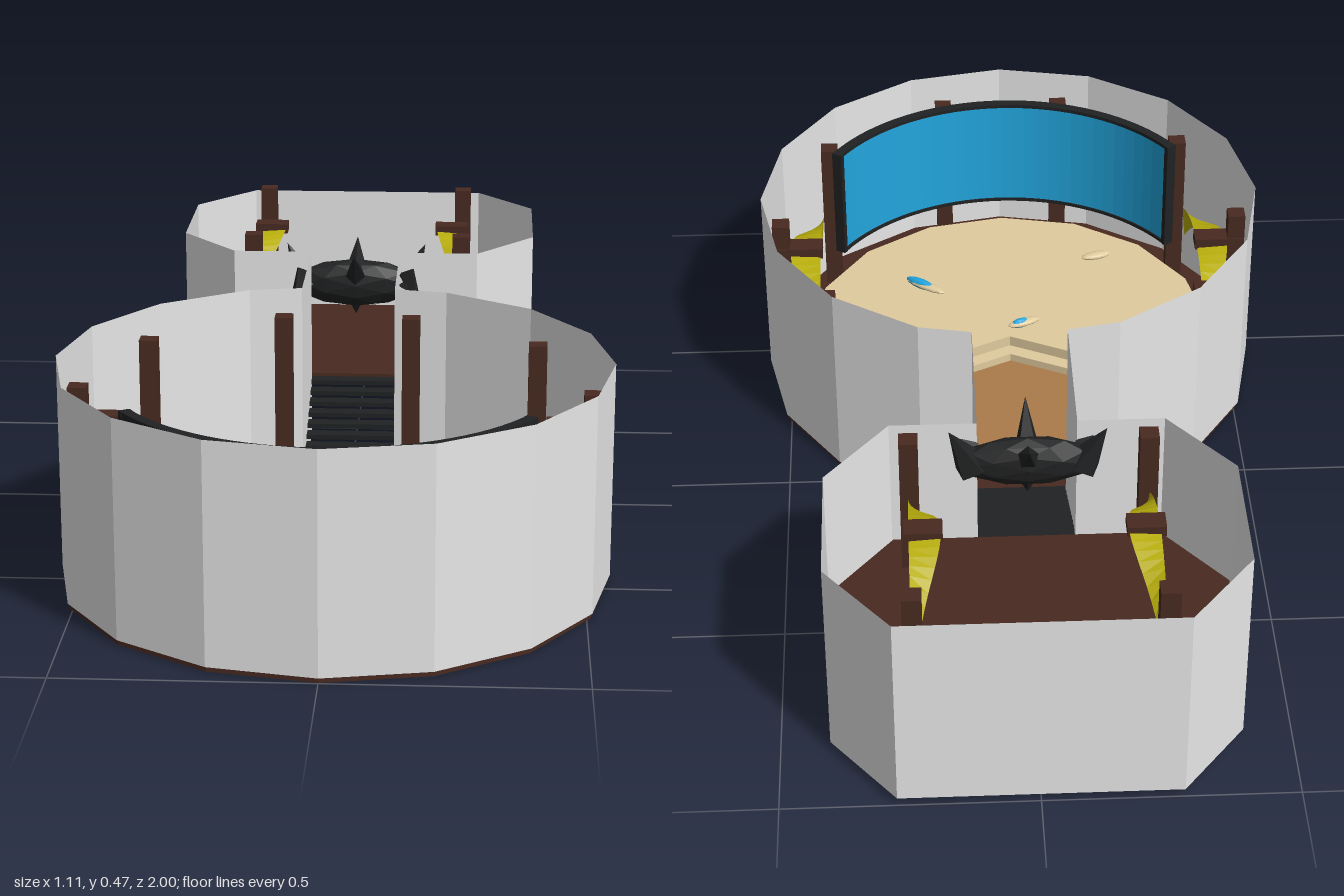
import * as THREE from 'three';

const mat = (name, color, double = false) => {
  const m = new THREE.MeshStandardMaterial({ color });
  m.name = name;
  m.flatShading = true;
  if (double) m.side = THREE.DoubleSide;
  return m;
};

export function createModel() {
  const model = new THREE.Group();
  const wallGrey = mat('wallGrey', 0xe7e7e7, true);
  const wood = mat('darkWood', 0x482a20, true);
  const black = mat('black', 0x202122, true);
  const cloth = mat('yellowCloth', 0xb8ae0c, true);
  const blue = mat('screenBlue', 0x22a6de, true);
  const sand = mat('paleSand', 0xe0cb9e);
  const wetSand = mat('brownSand', 0xac7b4a);

  const add = (name, geometry, material, x = 0, y = 0, z = 0) => {
    const mesh = new THREE.Mesh(geometry, material);
    mesh.name = name;
    mesh.position.set(x, y, z);
    model.add(mesh);
    return mesh;
  };
  const box = (name, w, h, d, material, x, y, z) =>
    add(name, new THREE.BoxGeometry(w, h, d), material, x, y, z);

  // Strip surface through pairs of points (two edges)
  const strip = (name, edgeA, edgeB, material) => {
    const pos = [], idx = [];
    edgeA.forEach((a, i) => {
      pos.push(...a, ...edgeB[i]);
      if (i) idx.push(2 * i - 2, 2 * i, 2 * i - 1, 2 * i - 1, 2 * i, 2 * i + 1);
    });
    const g = new THREE.BufferGeometry();
    g.setAttribute('position', new THREE.Float32BufferAttribute(pos, 3));
    g.setIndex(idx);
    g.computeVertexNormals();
    return add(name, g, material);
  };
  // Upright strip along points in x,z
  const fence = (name, pts, y0, y1, material) =>
    strip(name, pts.map(([x, z]) => [x, y0, z]), pts.map(([x, z]) => [x, y1, z]), material);

  // Flat slab from an outline in x,z
  const slab = (name, outline, y, h, material) => {
    const shape = new THREE.Shape(outline.map(([x, z]) => new THREE.Vector2(x, -z)));
    const g = new THREE.ExtrudeGeometry(shape, { depth: h, bevelEnabled: false });
    g.rotateX(-Math.PI / 2);
    return add(name, g, material, 0, y, 0);
  };

  const CZ = 0.447, R = 0.553, TOP = 0.452, F1 = 0.036, F2 = 0.163;
  const ring = (r, from, to) => {
    const pts = [];
    for (let i = from; i <= to; i++) pts.push([r * Math.sin(i * Math.PI / 8), CZ + r * Math.cos(i * Math.PI / 8)]);
    return pts;
  };

  // Walls of the round hall, and of the corridor and eight-sided room
  fence('hallWall', [[-0.1, -0.086], ...ring(R, -7, 7), [0.1, -0.086]], 0.01, TOP, wallGrey);
  const half = [[0, -1], [0.275, -1], [0.403, -0.84], [0.403, -0.56], [0.275, -0.4], [0.1, -0.4], [0.1, -0.086]];
  for (const s of [-1, 1]) fence('roomWall', half.map(([x, z]) => [s * x, z]), 0.018, TOP, wallGrey);

  // Floor plates, open below, each with a skirt
  const plate = (name, pts, y, top) => {
    slab(name, pts, top - 0.004, 0.004, wood);
    fence(name + 'Skirt', [...pts, pts[0]], y, top, wood);
  };
  plate('hallFloor', ring(0.55, 0, 15), 0, F1);
  const room = [[0.273, -0.996], [0.399, -0.838], [0.399, -0.562], [0.273, -0.404]];
  plate('roomFloor', [...room, ...room.slice().reverse().map(([x, z]) => [-x, z])], F2 - 0.026, F2);

  // Sand pit with two raised zigzag tiers
  add('brownSandPit', new THREE.CylinderGeometry(0.47, 0.47, 0.014, 16), wetSand, 0, F1 + 0.004, CZ);
  for (const [dz, y, h] of [[0, 0.04, 0.025], [0.035, 0.065, 0.025]]) {
    const front = [[-0.45, 0.385 + dz], [-0.215, 0.265 + dz], [0, 0.37 + dz], [0.215, 0.265 + dz], [0.45, 0.385 + dz]];
    slab('paleSandTier', [...front, ...ring(0.46, -4, 4).reverse()], y, h, sand);
  }

  // Little boards lying on the sand, some with a blue deck
  const boards = [[-0.035, 0.45, 0.08, 0.4, 0.55], [0.19, 0.61, 0.11, -0.65, 0.75], [-0.22, 0.72, 0.075, 0.3, 0]];
  for (const [x, z, len, turn, deck] of boards) {
    const board = new THREE.Group();
    board.name = 'board';
    const layer = (name, m, k, dx, h) => {
      const b = new THREE.Mesh(new THREE.SphereGeometry(1, 12, 8), m);
      b.name = name;
      b.scale.set(len / 2 * k, h, 0.014 * Math.sqrt(k));
      b.position.x = dx;
      board.add(b);
    };
    layer('boardBody', sand, 1, 0, 0.008);
    if (deck) layer('boardDeck', blue, deck, len * 0.12, 0.012);
    board.position.set(x, 0.098, z);
    board.rotation.y = turn;
    model.add(board);
  }

  // Curved screen with a frame on the front wall
  const S0 = 0.15, S1 = 0.418, SPREAD = 1.01;
  const arc = (name, r, y0, y1, material) => {
    const pts = [];
    for (let i = 0; i <= 32; i++) {
      const a = SPREAD * (i / 16 - 1);
      pts.push([r * Math.sin(a), CZ + r * Math.cos(a)]);
    }
    fence(name, pts, y0, y1, material);
    return pts;
  };
  const back = arc('screenBack', 0.465, S0, S1, black);
  arc('screen', 0.45, S0 + 0.005, S1 - 0.005, blue);
  const lip = arc('frameBottomLip', 0.443, S0, S0 + 0.008, black);
  arc('frameTopLip', 0.443, S1 - 0.008, S1, black);
  for (const y of [S0, S1]) {
    strip('frameEdge', lip.map(([x, z]) => [x, y, z]), back.map(([x, z]) => [x, y, z]), black);
  }
  for (const s of [-1, 1]) {
    const side = box('frameSide', 0.012, S1 - S0, 0.024, black,
      s * 0.454 * Math.sin(SPREAD), (S0 + S1) / 2, CZ + 0.454 * Math.cos(SPREAD));
    side.rotation.y = s * SPREAD;
  }

  // Arched cloth: upright at its ends, flat and wide at its crest
  const drape = (x0, bulge, z0, z1, base) => {
    const a = [], b = [];
    for (let i = 0; i <= 24; i++) {
      const t = i / 12 - 1;
      const w = 0.12 + 0.88 * (0.5 + 0.5 * Math.cos(Math.PI * t)), s = Math.cos(Math.PI * t / 2);
      const z = (z0 + z1) / 2 + t * (z1 - z0) / 2;
      a.push([x0, base + 0.17 + 0.1 * s, z]);
      b.push([x0 + bulge * w, base + 0.09 + 0.185 * s, z]);
    }
    strip('clothArch', a, b, cloth);
  };

  // Posts, brackets and cloths, mirrored
  const post = (x, z, y0, y1) => box('post', 0.038, y1 - y0, 0.038, wood, x, (y0 + y1) / 2, z);
  for (const s of [-1, 1]) {
    for (const [x, z] of [[0.137, -0.05], [0.406, 0.139], [0.406, 0.745], [0.137, 0.93]]) post(s * x, z, F1, 0.4);
    post(s * 0.512, CZ - 0.005, F1, 0.39);
    for (const z of [-0.94, -0.475]) post(s * 0.237, z, F2, 0.475);
    drape(s * 0.425, s * 0.068, 0.14, 0.745, 0.042);
    drape(s * 0.24, -s * 0.062, -0.945, -0.475, 0.158);
    box('hallBracket', 0.11, 0.025, 0.045, wood, s * 0.475, 0.32, CZ - 0.005);
    box('roomBracket', 0.075, 0.022, 0.045, wood, s * 0.2125, 0.433, -0.708);
  }

  // Open stairs through the corridor
  for (let i = 0; i < 9; i++) {
    box('stair', 0.198, 0.01, 0.035, black, 0, 0.034 + i * 0.0148, -0.106 - i * 0.0347);
  }

  // Spiked ornament over the room entrance
  const body = add('ornamentBody', new THREE.IcosahedronGeometry(1, 1), black, 0, 0.375, -0.425);
  body.scale.set(0.14, 0.055, 0.038);
  const spike = (from, to, r) => {
    const a = new THREE.Vector3(...from), b = new THREE.Vector3(...to);
    const dir = b.clone().sub(a);
    const mid = a.add(b).multiplyScalar(0.5);
    const m = add('ornamentSpike', new THREE.ConeGeometry(r, dir.length(), 5), black, mid.x, mid.y, mid.z);
    m.quaternion.setFromUnitVectors(new THREE.Vector3(0, 1, 0), dir.normalize());
  };
  spike([0, 0.38, -0.425], [0, 0.46, -0.325], 0.032);
  spike([0, 0.38, -0.425], [0, 0.46, -0.515], 0.032);
  spike([0, 0.37, -0.425], [0, 0.3, -0.43], 0.04);
  for (const s of [-1, 1]) {
    spike([s * 0.11, 0.365, -0.425], [s * 0.157, 0.462, -0.44], 0.038);
    spike([s * 0.12, 0.4, -0.42], [s * 0.14, 0.335, -0.385], 0.03);
  }
  return model;
}
